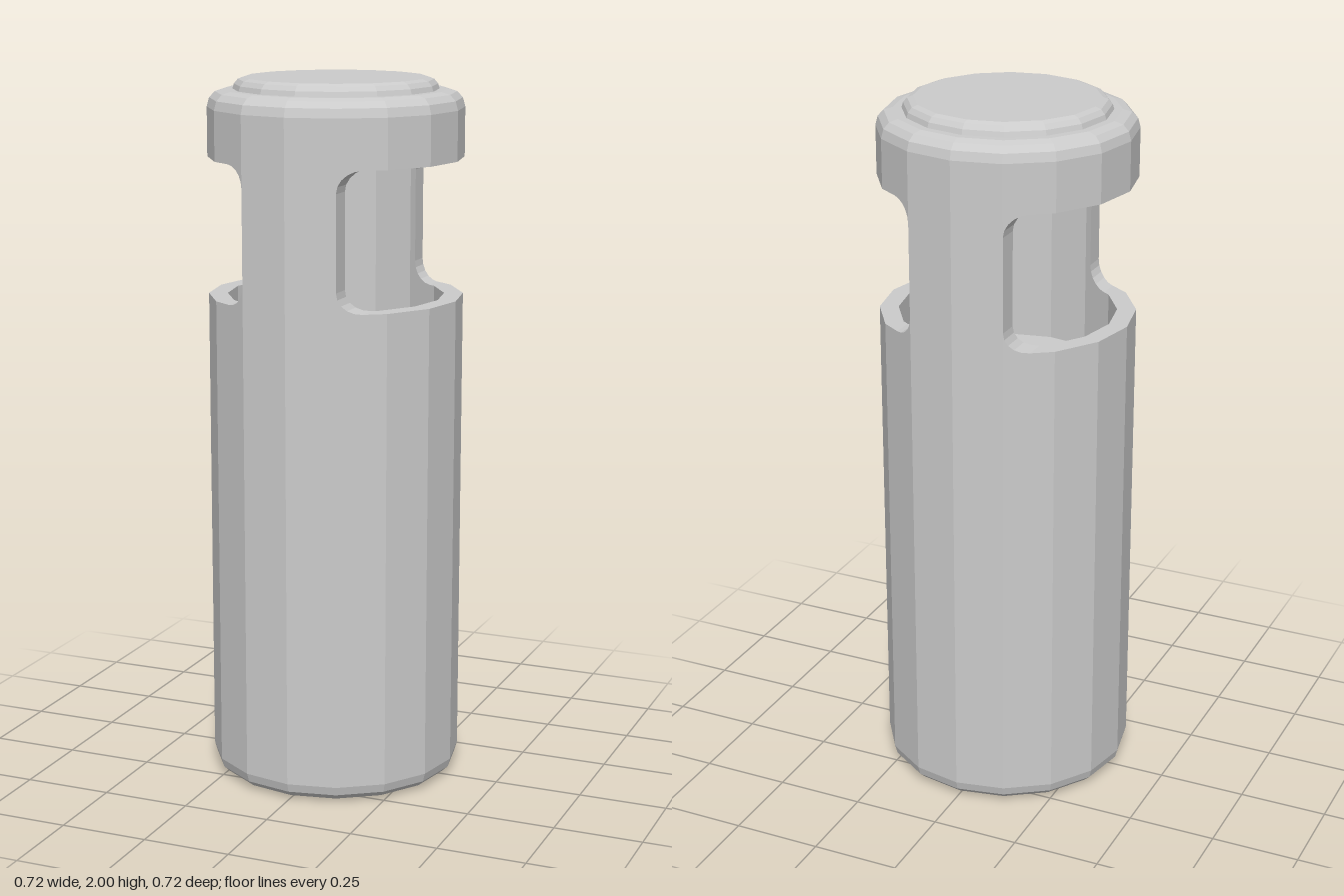
import * as THREE from 'three';

const SIDES = 16;
const OUTER = 0.358, INNER = 0.305;
const SILL = 1.395, LINTEL = 1.78; // window bottom and top
const PILLAR = 0.137, CORNER = 0.06; // pillar half width and window corner radius

const material = new THREE.MeshStandardMaterial({ color: 0xcccccc, flatShading: true });

function lathe(name, profile) {
  const points = profile.map(([r, y]) => new THREE.Vector2(r, y));
  const mesh = new THREE.Mesh(new THREE.LatheGeometry(points, SIDES), material);
  mesh.name = name;
  return mesh;
}

// z on the faceted ring of the given radius at a given x
function ringZ(radius, x) {
  const step = (2 * Math.PI) / SIDES;
  const ax = Math.abs(x);
  let k = 0;
  while (radius * Math.sin((k + 1) * step) < ax) k++;
  const x0 = radius * Math.sin(k * step), x1 = radius * Math.sin((k + 1) * step);
  const z0 = radius * Math.cos(k * step), z1 = radius * Math.cos((k + 1) * step);
  return z0 + ((z1 - z0) * (ax - x0)) / (x1 - x0);
}

// Curved pillar lofted upward, flaring at both ends into the rounded window corners
function pillarGeometry() {
  const levels = [];
  const n = 5;
  for (let i = 0; i <= n; i++) {
    const a = (i / n) * (Math.PI / 2);
    levels.push([CORNER * (1 - Math.cos(a)), PILLAR + CORNER * (1 - Math.sin(a))]);
  }
  // Offset from the window edge, paired with half width
  const sections = [];
  for (let i = 0; i <= n; i++) {
    const a = (i / n) * (Math.PI / 2);
    sections.push([SILL + levels[i][0], PILLAR + CORNER * (1 - Math.sin(a))]);
  }
  for (let i = n; i >= 0; i--) sections.push([LINTEL - levels[i][0], levels[i][1]]);

  const outerX = OUTER * Math.sin(Math.PI / 8), innerX = INNER * Math.sin(Math.PI / 8);
  const positions = [], index = [];
  for (const [y, w] of sections) {
    for (const x of [-w, -outerX, 0, outerX, w]) positions.push(x, y, ringZ(OUTER, x));
    for (const x of [w, innerX, 0, -innerX, -w]) positions.push(x, y, ringZ(INNER, x));
  }
  for (let j = 0; j < sections.length - 1; j++) {
    for (let i = 0; i < 10; i++) {
      const a = j * 10 + i, b = j * 10 + ((i + 1) % 10);
      index.push(a, b, b + 10, a, b + 10, a + 10);
    }
  }
  const geometry = new THREE.BufferGeometry();
  geometry.setAttribute('position', new THREE.Float32BufferAttribute(positions, 3));
  geometry.setIndex(index);
  geometry.computeVertexNormals();
  return geometry;
}

export function createModel() {
  const model = new THREE.Group();
  model.name = 'windowedCylinder';

  // Main body with a shallow recess below the windows
  model.add(lathe('body', [
    [0, 0], [0.305, 0], [0.333, 0.008], [0.351, 0.025], [OUTER, 0.05],
    [OUTER, SILL], [INNER, SILL], [INNER, 1.2], [0, 1.2],
  ]));

  // Cap with a rounded hollow underneath
  model.add(lathe('cap', [
    [0, 1.92], [0.245, 1.92], [0.287, 1.902], [INNER, 1.86], [INNER, LINTEL],
    [OUTER, LINTEL], [OUTER, 1.918], [0.351, 1.943], [0.335, 1.96], [0.31, 1.967], [0, 1.967],
  ]));

  // Raised disc on top
  model.add(lathe('topDisc', [
    [0.287, 1.965], [0.282, 1.981], [0.271, 1.994], [0.255, 2], [0, 2],
  ]));

  // Front and back pillars between the two side windows
  const geometry = pillarGeometry();
  ['frontPillar', 'backPillar'].forEach((name, i) => {
    const pillar = new THREE.Mesh(geometry, material);
    pillar.name = name;
    pillar.rotation.y = i * Math.PI;
    model.add(pillar);
  });
  return model;
}
